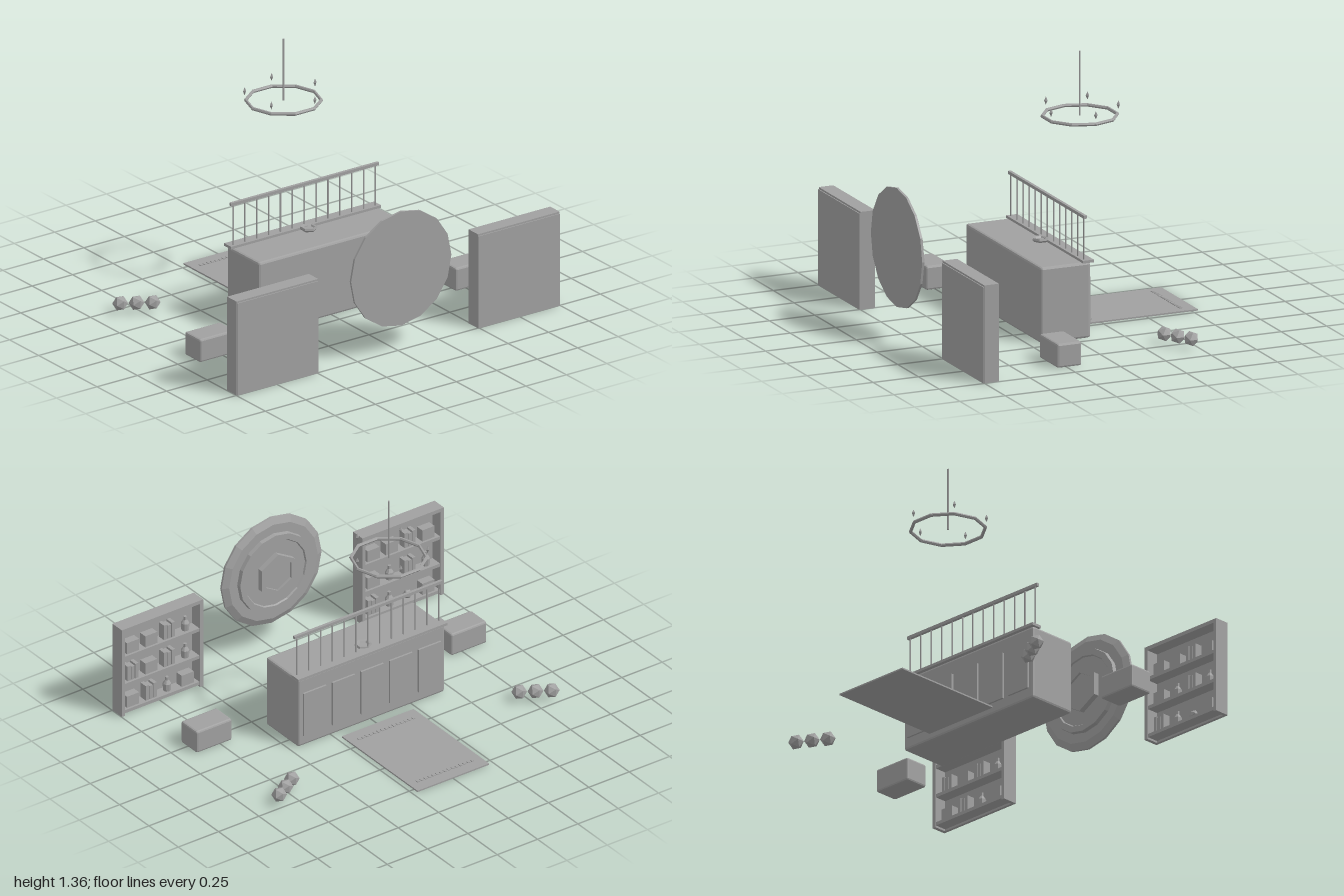
import * as THREE from 'three';
import { RoundedBoxGeometry } from 'three/addons/geometries/RoundedBoxGeometry.js';

export function createModel() {
  const root = new THREE.Group();
  root.name = 'bankInterior';
  const grey = new THREE.MeshStandardMaterial({ color: 0xa0a0a0, flatShading: true });
  grey.name = 'plainGrey';

  const add = (name, geo, x, y, z, parent = root) => {
    const m = new THREE.Mesh(geo, grey);
    m.name = name;
    m.position.set(x, y, z);
    parent.add(m);
    return m;
  };
  const box = (name, w, h, d, x, y, z, parent) =>
    add(name, new THREE.BoxGeometry(w, h, d), x, y, z, parent);
  const group = (name, x = 0, y = 0, z = 0) => {
    const g = new THREE.Group();
    g.name = name;
    g.position.set(x, y, z);
    root.add(g);
    return g;
  };

  // Counter with bevelled edges and raised panels on its back
  const counter = group('counter');
  add('counterBody', new RoundedBoxGeometry(0.91, 0.395, 0.275, 1, 0.012), 0, 0.1975, 0.0525, counter);
  for (let i = -2; i <= 2; i++) box('counterPanel', 0.14, 0.25, 0.012, i * 0.178, 0.185, -0.09, counter);
  box('counterLedge', 0.926, 0.014, 0.06, 0, 0.401, -0.068, counter);

  // Railing on the ledge
  const railing = group('railing');
  box('handRail', 0.915, 0.016, 0.016, 0, 0.632, -0.054, railing);
  for (let i = -6; i <= 6; i++) {
    add('railingBar', new THREE.CylinderGeometry(0.004, 0.004, 0.226, 6), i * 0.0733, 0.515, -0.054, railing);
  }

  // Shallow hexagonal dish on the counter
  const dishProfile = [[0, 0], [0.036, 0], [0.045, 0.01], [0.042, 0.02], [0.032, 0.018], [0.026, 0.01], [0, 0.01]]
    .map(([x, y]) => new THREE.Vector2(x, y));
  add('coinDish', new THREE.LatheGeometry(dishProfile, 6), 0, 0.395, -0.016);

  // Vault door: bevelled 16-sided disc with a raised ring and a hexagon facing back
  const door = group('vaultDoor', 0, 0.455, 0.778);
  const discProfile = [[0, 0], [0.31, 0], [0.31, 0.012], [0.275, 0.028], [0.225, 0.028],
    [0.222, 0.05], [0.19, 0.05], [0.185, 0.042], [0, 0.042]].map(([x, y]) => new THREE.Vector2(x, y));
  add('doorDisc', new THREE.LatheGeometry(discProfile, 16), 0, 0, 0, door).rotation.x = -Math.PI / 2;
  const hexPath = (path, r) => {
    for (let i = 0; i < 6; i++) {
      const a = Math.PI / 2 + i * Math.PI / 3;
      path[i ? 'lineTo' : 'moveTo'](r * Math.cos(a), r * Math.sin(a));
    }
    path.closePath();
    return path;
  };
  const hex = hexPath(new THREE.Shape(), 0.12);
  hex.holes.push(hexPath(new THREE.Path(), 0.092));
  add('doorHexagonRim', new THREE.ExtrudeGeometry(hex, { depth: 0.032, bevelEnabled: false }), 0, 0, -0.072, door);
  const hexPlate = add('doorHexagonPlate', new THREE.CylinderGeometry(0.094, 0.094, 0.018, 6), 0, 0, -0.05, door);
  hexPlate.rotation.x = -Math.PI / 2;

  // Goods for the shelves, each standing on its own origin
  const bottleProfile = [[0, 0], [0.02, 0], [0.022, 0.04], [0.009, 0.06], [0.009, 0.078], [0, 0.078]]
    .map(([x, y]) => new THREE.Vector2(x, y));
  const goods = {
    c: (x, y, g) => box('crate', 0.075, 0.065, 0.045, x, y + 0.0325, 0, g),
    b: (x, y, g) => {
      for (let i = 0; i < 3; i++) {
        const h = 0.085 - 0.008 * (i % 2);
        box('book', 0.02, h, 0.045, x + (i - 1) * 0.024, y + h / 2, 0, g);
      }
    },
    j: (x, y, g) => add('bottle', new THREE.LatheGeometry(bottleProfile, 8), x, y, 0, g),
    o: (x, y, g) => add('globe', new THREE.IcosahedronGeometry(0.025, 0), x, y + 0.023, 0, g),
  };

  // Two wall shelves, open towards the back; rows run from top to bottom
  const shelf = (name, cx, rows) => {
    const g = group(name, cx, 0, 0.71);
    box('shelfBacking', 0.5, 0.5, 0.015, 0, 0.25, 0.0375, g);
    for (const s of [-1, 1]) box('shelfSide', 0.02, 0.51, 0.08, s * 0.2425, 0.255, 0, g);
    box('shelfTop', 0.47, 0.02, 0.08, 0, 0.5, 0, g);
    [0.02, 0.175, 0.335].forEach((y, i) => {
      box('shelfBoard', 0.47, 0.018, 0.07, 0, y, 0, g);
      [...rows[2 - i]].forEach((kind, k) => goods[kind](0.17 - k * 0.113, y + 0.009, g));
    });
  };
  shelf('leftShelf', 0.746, ['ccbj', 'bcbj', 'cbjc']);
  shelf('rightShelf', -0.746, ['ccbc', 'cjbj', 'bjoc']);

  // Mirrored benches and rows of faceted balls
  for (const s of [-1, 1]) {
    add('bench', new RoundedBoxGeometry(0.22, 0.125, 0.135, 1, 0.01), s * 0.79, 0.0625, 0.235);
    for (let i = 0; i < 3; i++) {
      add('facetedBall', new THREE.IcosahedronGeometry(0.04, 0), s * (0.705 + i * 0.07), 0.052, -0.375 - i * 0.0425);
    }
  }

  // Rug with a row of dashes near each end
  const rug = group('rug', 0, 0, -0.46);
  box('rugBase', 0.444, 0.008, 0.644, 0, 0.004, 0, rug);
  for (const z of [-0.25, 0.25]) {
    for (let i = -7; i <= 7; i++) box('rugDash', 0.014, 0.004, 0.018, i * 0.024, 0.01, z, rug);
  }

  // Chandelier: ten-sided ring, central rod and five flames
  const lamp = group('chandelier', 0, 1.027, -0.232);
  add('lampRing', new THREE.TorusGeometry(0.19, 0.009, 6, 10), 0, 0, 0, lamp).rotation.x = Math.PI / 2;
  add('lampRod', new THREE.CylinderGeometry(0.005, 0.005, 0.335, 6), 0, 0.166, 0, lamp);
  for (let i = 0; i < 5; i++) {
    const a = i * Math.PI * 0.4;
    const flame = add('flame', new THREE.OctahedronGeometry(0.022), 0.195 * Math.cos(a), 0.048, 0.195 * Math.sin(a), lamp);
    flame.scale.set(0.45, 1, 0.45);
  }
  return root;
}
